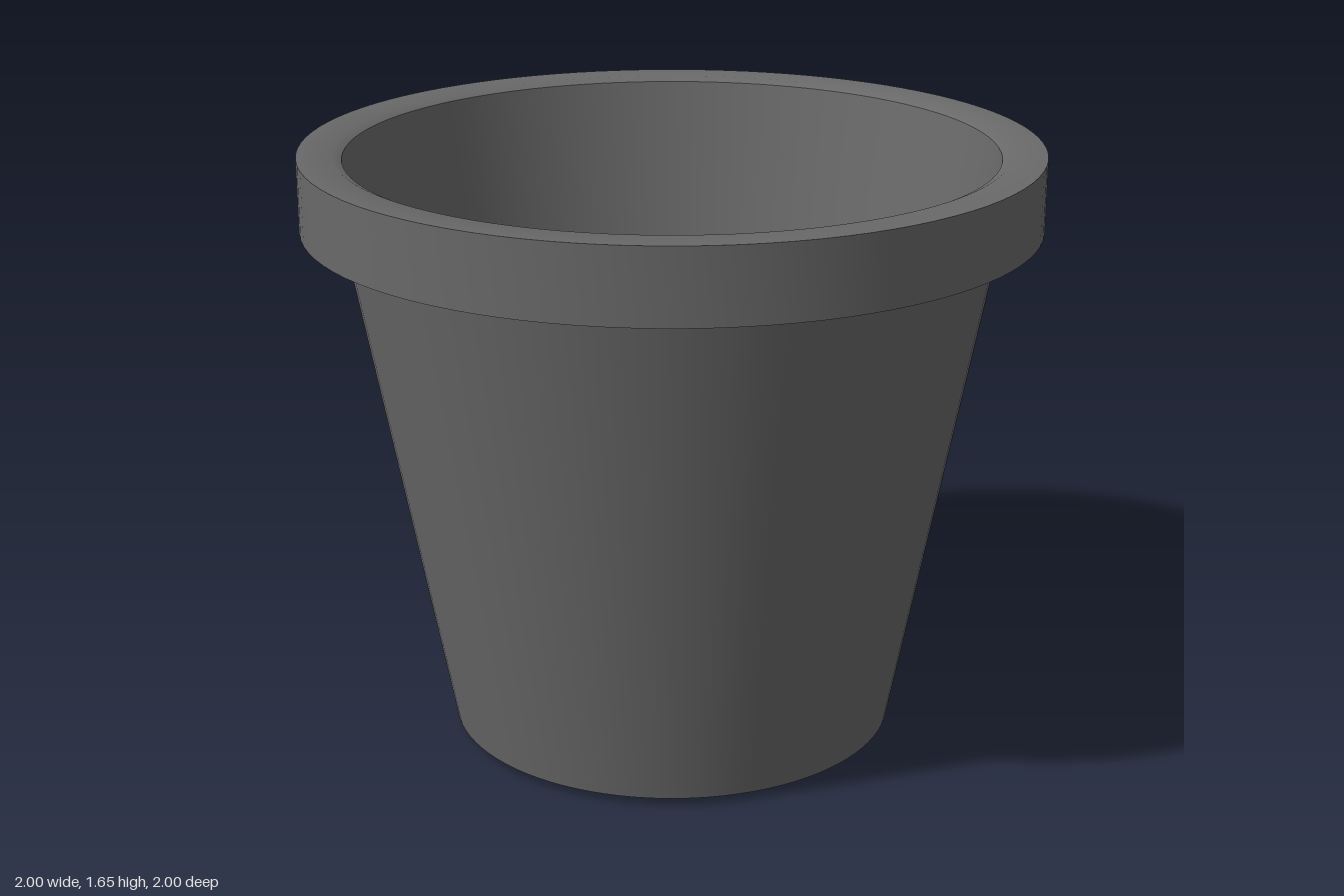
import * as THREE from 'three';
import { toCreasedNormals } from 'three/addons/utils/BufferGeometryUtils.js';

const SEGMENTS = 96;

// Revolve a profile of [radius, height] points, keeping its corners sharp
function revolve(name, profile, material) {
  const points = profile.map(([r, y]) => new THREE.Vector2(r, y));
  const geometry = toCreasedNormals(new THREE.LatheGeometry(points, SEGMENTS), 0.6);
  const mesh = new THREE.Mesh(geometry, material);
  mesh.name = name;
  return mesh;
}

export function createModel() {
  const group = new THREE.Group();
  group.name = 'flowerPot';
  const grey = new THREE.MeshStandardMaterial({ color: 0x696969 });
  grey.name = 'dark grey plastic';

  // Slightly bulging underside and tapered outer wall
  group.add(revolve('outerWall', [
    [0, 0], [0.3, 0.012], [0.62, 0.022], [0.918, 1.61],
  ], grey));

  // Overhanging rim: hollow skirt, flat top and inner bevel
  group.add(revolve('rim', [
    [0.918, 1.61], [0.945, 1.61], [0.945, 1.455], [1, 1.455],
    [1, 1.655], [0.905, 1.655], [0.88, 1.643],
  ], grey));

  // Inside wall and floor
  group.add(revolve('innerWall', [
    [0.88, 1.643], [0.575, 0.045], [0, 0.045],
  ], grey));

  return group;
}
